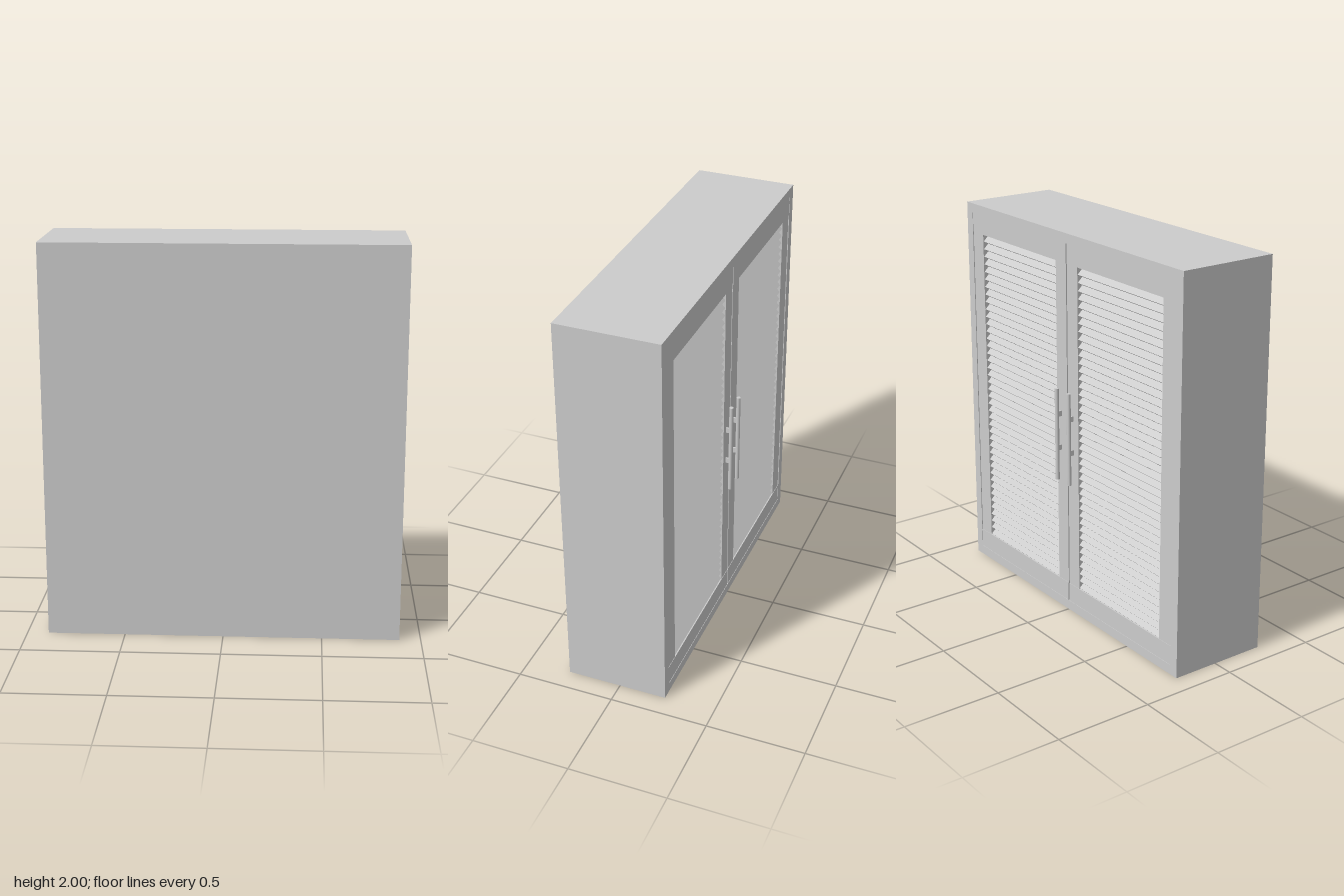
import * as THREE from 'three';

const material = new THREE.MeshStandardMaterial({ color: 0xcccccc });

// Box given by its min and max corners
function box(parent, name, [x0, y0, z0], [x1, y1, z1]) {
  const mesh = new THREE.Mesh(new THREE.BoxGeometry(x1 - x0, y1 - y0, z1 - z0), material);
  mesh.name = name;
  mesh.position.set((x0 + x1) / 2, (y0 + y1) / 2, (z0 + z1) / 2);
  parent.add(mesh);
  return mesh;
}

const W = 0.892, H = 2, BACK = 0.275, FACE = -0.242, T = 0.05;
const INNER = FACE + 0.04; // inside plane of the doors and face frame

// Hollow case with panels all round
function createCase() {
  const g = new THREE.Group();
  g.name = 'case';
  box(g, 'leftSide', [W - T, 0, FACE], [W, H, BACK]);
  box(g, 'rightSide', [-W, 0, FACE], [-W + T, H, BACK]);
  box(g, 'topPanel', [-W + T, H - T, FACE], [W - T, H, BACK]);
  box(g, 'bottomPanel', [-W + T, 0, FACE], [W - T, T, BACK]);
  box(g, 'backPanel', [-W + T, T, BACK - 0.03], [W - T, H - T, BACK]);
  return g;
}

// Louvred door; side is +1 for the model's left, -1 for its right
function createDoor(side) {
  const g = new THREE.Group();
  g.name = side > 0 ? 'leftDoor' : 'rightDoor';
  const gap = 0.004, outer = W - T, in0 = 0.09, in1 = 0.75, lo = 0.15, hi = 1.85;
  const part = (name, xa, xb, y0, y1, z) => {
    const [x0, x1] = side > 0 ? [xa, xb] : [-xb, -xa];
    return box(g, name, [x0, y0, z], [x1, y1, INNER]);
  };
  part('bottomRail', gap, outer, T, lo, FACE + 0.002);
  part('topRail', gap, outer, hi, H - T, FACE + 0.002);
  part('innerStile', gap, in0, lo, hi, FACE + 0.004);
  part('outerStile', in1, outer, lo, hi, FACE + 0.004);

  // Slats slope down towards the outside
  const count = 42, pitch = (hi - lo) / count;
  const slat = new THREE.BoxGeometry(in1 - in0, 0.006, 0.052);
  for (let i = 0; i < count; i++) {
    const mesh = new THREE.Mesh(slat, material);
    mesh.name = 'slat';
    mesh.position.set(side * (in0 + in1) / 2, lo + (i + 0.5) * pitch, FACE + 0.027);
    mesh.rotation.x = -Math.PI / 4;
    g.add(mesh);
  }
  return g;
}

// Round bar on two flat posts
function createHandle(x) {
  const g = new THREE.Group();
  g.name = 'handle';
  const bar = new THREE.Mesh(new THREE.CylinderGeometry(0.0105, 0.0105, 0.486, 20), material);
  bar.name = 'handleBar';
  bar.position.set(x, 0.963, -0.2645);
  g.add(bar);
  for (const y of [0.89, 1.07]) {
    box(g, 'handlePost', [x - 0.004, y - 0.014, -0.262], [x + 0.004, y + 0.014, FACE + 0.006]);
  }
  return g;
}

export function createModel() {
  const model = new THREE.Group();
  model.name = 'louvredCabinet';
  model.add(createCase(), createDoor(1), createDoor(-1));
  model.add(createHandle(0.056), createHandle(-0.046));
  return model;
}
